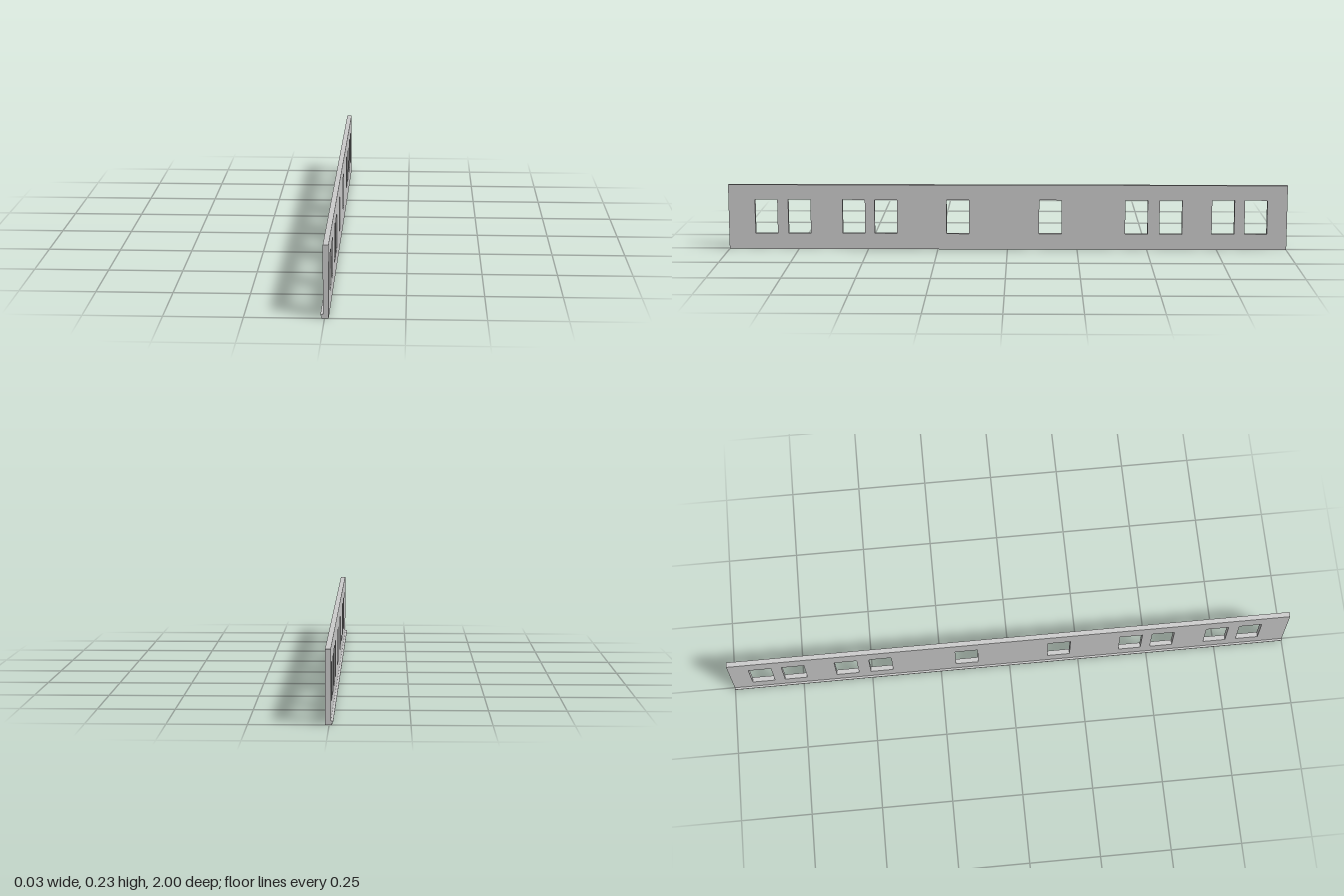
import * as THREE from 'three';

const HEIGHT = 0.234, OUTER = 0.0127, INNER = -0.005;
const material = new THREE.MeshStandardMaterial({ color: 0xcccccc, flatShading: true });

function rectangle(target, z0, z1, y0, y1) {
  target.moveTo(z0, y0);
  target.lineTo(z1, y0);
  target.lineTo(z1, y1);
  target.lineTo(z0, y1);
  target.closePath();
  return target;
}

export function createModel() {
  const model = new THREE.Group();
  model.name = 'wallPanel';

  // Long wall with ten window openings, drawn along z and extruded through its thickness
  const shape = rectangle(new THREE.Shape(), -1, 1, 0, HEIGHT);
  const windowCentres = [0.865, 0.746, 0.551, 0.436, 0.178, -0.154, -0.462, -0.585, -0.772, -0.889];
  for (const z of windowCentres) {
    shape.holes.push(rectangle(new THREE.Path(), z - 0.04, z + 0.04, 0.057, 0.18));
  }
  const wallGeometry = new THREE.ExtrudeGeometry(shape, { depth: OUTER - INNER, bevelEnabled: false });
  wallGeometry.rotateY(-Math.PI / 2).translate(OUTER, 0, 0);
  const wall = new THREE.Mesh(wallGeometry, material);
  wall.name = 'wall';
  model.add(wall);

  // Small flared ledge along the foot of the wall
  const profile = new THREE.Shape([
    [INNER, 0], [INNER, 0.013], [-0.0127, 0.013], [-0.0127, 0.011], [-0.009, 0.006], [-0.009, 0],
  ].map(([x, y]) => new THREE.Vector2(x, y)));
  const ledgeGeometry = new THREE.ExtrudeGeometry(profile, { depth: 2, bevelEnabled: false });
  ledgeGeometry.translate(0, 0, -1);
  const ledge = new THREE.Mesh(ledgeGeometry, material);
  ledge.name = 'footLedge';
  model.add(ledge);

  return model;
}
